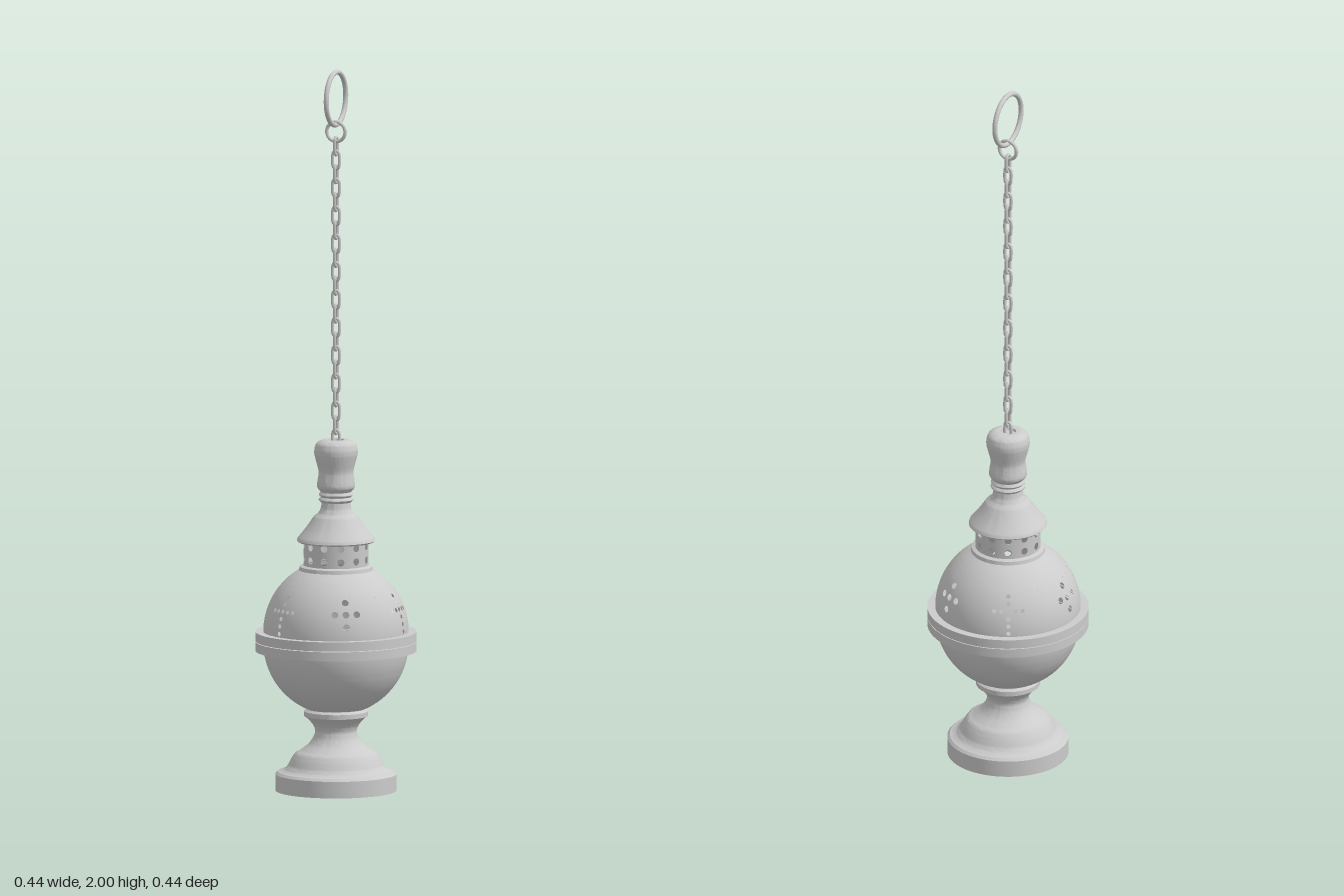
import * as THREE from 'three';
import { mergeGeometries, toCreasedNormals } from 'three/addons/utils/BufferGeometryUtils.js';

const RAD = Math.PI / 180;
const material = new THREE.MeshStandardMaterial({ color: 0xcccccc, side: THREE.DoubleSide });

function add(group, name, geometry) {
  const mesh = new THREE.Mesh(geometry, material);
  mesh.name = name;
  group.add(mesh);
  return mesh;
}

const vec = ([x, y]) => new THREE.Vector2(x, y);

// Smooth profile through a few [radius, height] points
const smooth = (points, n = 16) => new THREE.SplineCurve(points.map(vec)).getPoints(n).map(p => [p.x, p.y]);

// Circular arc profile, angles in degrees above the horizontal
function arc(radius, cy, from, to, n) {
  return Array.from({ length: n + 1 }, (_, i) => {
    const a = (from + (to - from) * i / n) * RAD;
    return [radius * Math.cos(a), cy + radius * Math.sin(a)];
  });
}

const turned = profile => toCreasedNormals(new THREE.LatheGeometry(profile.map(vec), 64), 0.5);

// Patch of a curved wall, with an optional round hole (half-axes hu, hv) in its middle
function cell(map, u0, u1, v0, v1, hu = 0, hv = 0) {
  const cu = (u0 + u1) / 2, cv = (v0 + v1) / 2, n = 16;
  const positions = [], normals = [], index = [];
  for (let i = 0; i <= n; i++) {
    const a = (i / n) * Math.PI * 2, c = Math.cos(a), s = Math.sin(a);
    const k = 1 / Math.max(Math.abs(c), Math.abs(s));
    const inner = map(cu + c * hu, cv + s * hv);
    const outer = map(cu + c * k * (u1 - u0) / 2, cv + s * k * (v1 - v0) / 2);
    for (const { p, n: normal } of [inner, outer]) {
      positions.push(...p);
      normals.push(...normal);
    }
    if (i < n) {
      const b = i * 2;
      index.push(b, b + 1, b + 3, b, b + 3, b + 2);
    }
  }
  const g = new THREE.BufferGeometry();
  g.setAttribute('position', new THREE.Float32BufferAttribute(positions, 3));
  g.setAttribute('normal', new THREE.Float32BufferAttribute(normals, 3));
  g.setIndex(index);
  return g;
}

const DOME_R = 0.2, DOME_Y = 0.44;
function onDome(u, v) {
  const n = [Math.cos(u * RAD) * Math.cos(v * RAD), Math.sin(v * RAD), -Math.sin(u * RAD) * Math.cos(v * RAD)];
  return { p: [n[0] * DOME_R, DOME_Y + n[1] * DOME_R, n[2] * DOME_R], n };
}
function onGallery(u, y) {
  const n = [Math.cos(u * RAD), 0, -Math.sin(u * RAD)];
  return { p: [n[0] * 0.09, y, n[2] * 0.09], n };
}

// Sector of the dome pierced by a cross of round holes
function crossSector(center, width, columns, rows, isHole, holeDegrees) {
  const cells = [], w = width / columns, mid = (columns - 1) / 2;
  for (let r = 0; r < rows.length - 1; r++) {
    for (let c = 0; c < columns; c++) {
      const u = center - width / 2 + c * w;
      const h = isHole(c - mid, r) ? holeDegrees : 0;
      const lat = (rows[r] + rows[r + 1]) / 2;
      cells.push(cell(onDome, u, u + w, rows[r], rows[r + 1], h / Math.cos(lat * RAD), h));
    }
  }
  return cells;
}

function piercedDome() {
  const cells = [];
  for (let i = 0; i < 3; i++) {
    // Long cross of small holes
    cells.push(...crossSector(i * 120, 54, 9, [0, 6, 12, 18, 24, 30, 36],
      (c, r) => c === 0 || (r === 3 && Math.abs(c) <= 2), 1.75));
    // Short cross of large holes
    cells.push(...crossSector(i * 120 + 60, 66, 7, [0, 6, 16, 26, 36],
      (c, r) => (c === 0 && r > 0) || (r === 2 && Math.abs(c) === 1), 2.7));
  }
  return mergeGeometries(cells);
}

function piercedGallery() {
  const cells = [], rows = [0.625, 0.662, 0.699];
  for (let i = 0; i < 12; i++) {
    for (let r = 0; r < 2; r++) {
      cells.push(cell(onGallery, i * 30 - 15, i * 30 + 15, rows[r], rows[r + 1], 0.01 / 0.09 / RAD, 0.01));
    }
  }
  return mergeGeometries(cells);
}

// Oval chain link standing in the xy plane
function linkGeometry(halfLength, halfWidth, tube) {
  const straight = halfLength - halfWidth, points = [];
  for (let i = 0; i < 16; i++) {
    const a = ((i + 0.5) / 16) * Math.PI * 2;
    points.push(new THREE.Vector3(halfWidth * Math.cos(a), halfWidth * Math.sin(a) + Math.sign(Math.sin(a)) * straight, 0));
  }
  return new THREE.TubeGeometry(new THREE.CatmullRomCurve3(points, true), 32, tube, 8, true);
}

export function createModel() {
  const model = new THREE.Group();
  model.name = 'hangingCenser';

  // Foot, hollow underneath, with a flared stem
  add(model, 'foot', turned([
    [0, 0.03], [0.147, 0.03], [0.147, 0], [0.167, 0], [0.167, 0.046], [0.16, 0.053],
    ...smooth([[0.148, 0.056], [0.135, 0.066], [0.123, 0.088], [0.112, 0.104]]),
    [0.104, 0.108],
    ...smooth([[0.1, 0.11], [0.073, 0.132], [0.058, 0.16], [0.063, 0.182], [0.082, 0.203]]),
    [0.088, 0.207], [0.088, 0.22], [0.08, 0.226], [0.08, 0.24],
  ]));

  // Bowl and the two meeting flanges
  add(model, 'bowl', turned(arc(0.2, 0.41, -66, 2, 24)));
  for (const [name, y] of [['bowlFlange', 0.388], ['lidFlange', 0.4155]]) {
    add(model, name, turned([[0.196, y], [0.222, y], [0.222, y + 0.0255], [0.196, y + 0.0255]]));
  }

  // Lid
  add(model, 'piercedDome', piercedDome());
  add(model, 'domeCrown', turned([...arc(DOME_R, DOME_Y, 36, 56, 8), [0.102, 0.612], [0.1, 0.622], [0.09, 0.626]]));
  add(model, 'piercedGallery', piercedGallery());
  add(model, 'roof', turned([
    [0.088, 0.698], [0.104, 0.69], [0.108, 0.694],
    ...smooth([[0.106, 0.7], [0.082, 0.73], [0.06, 0.762]], 10),
    [0.052, 0.767],
    ...smooth([[0.05, 0.769], [0.043, 0.78], [0.039, 0.8]], 8),
  ]));

  // Turned finial with two small rings below the knob
  add(model, 'finial', turned([
    [0.039, 0.8],
    ...smooth([[0.042, 0.8], [0.048, 0.807], [0.042, 0.814]], 8),
    ...smooth([[0.042, 0.815], [0.047, 0.821], [0.042, 0.828]], 8),
    ...smooth([[0.042, 0.829], [0.052, 0.842], [0.051, 0.86], [0.048, 0.885], [0.056, 0.918],
      [0.06, 0.94], [0.054, 0.963], [0.036, 0.973], [0.022, 0.973]], 32),
    [0.02, 0.966], [0, 0.966],
  ]));

  // Chain of alternating links
  const chain = new THREE.Group();
  chain.name = 'chain';
  model.add(chain);
  const link = linkGeometry(0.0245, 0.0095, 0.0045), count = 22;
  for (let i = 0; i < count; i++) {
    const mesh = add(chain, 'chainLink', link);
    mesh.position.y = 0.975 + (1.788 - 0.975) * i / (count - 1);
    mesh.rotation.y = i % 2 ? Math.PI / 2 : 0;
  }

  // Connecting ring and large hanging ring
  add(model, 'connectingRing', new THREE.TorusGeometry(0.027, 0.005, 10, 32)).position.y = 1.828;
  const ring = add(model, 'hangingRing', new THREE.TorusGeometry(0.073, 0.007, 12, 48));
  ring.position.y = 1.92;
  ring.rotation.y = Math.PI / 2;

  return model;
}
